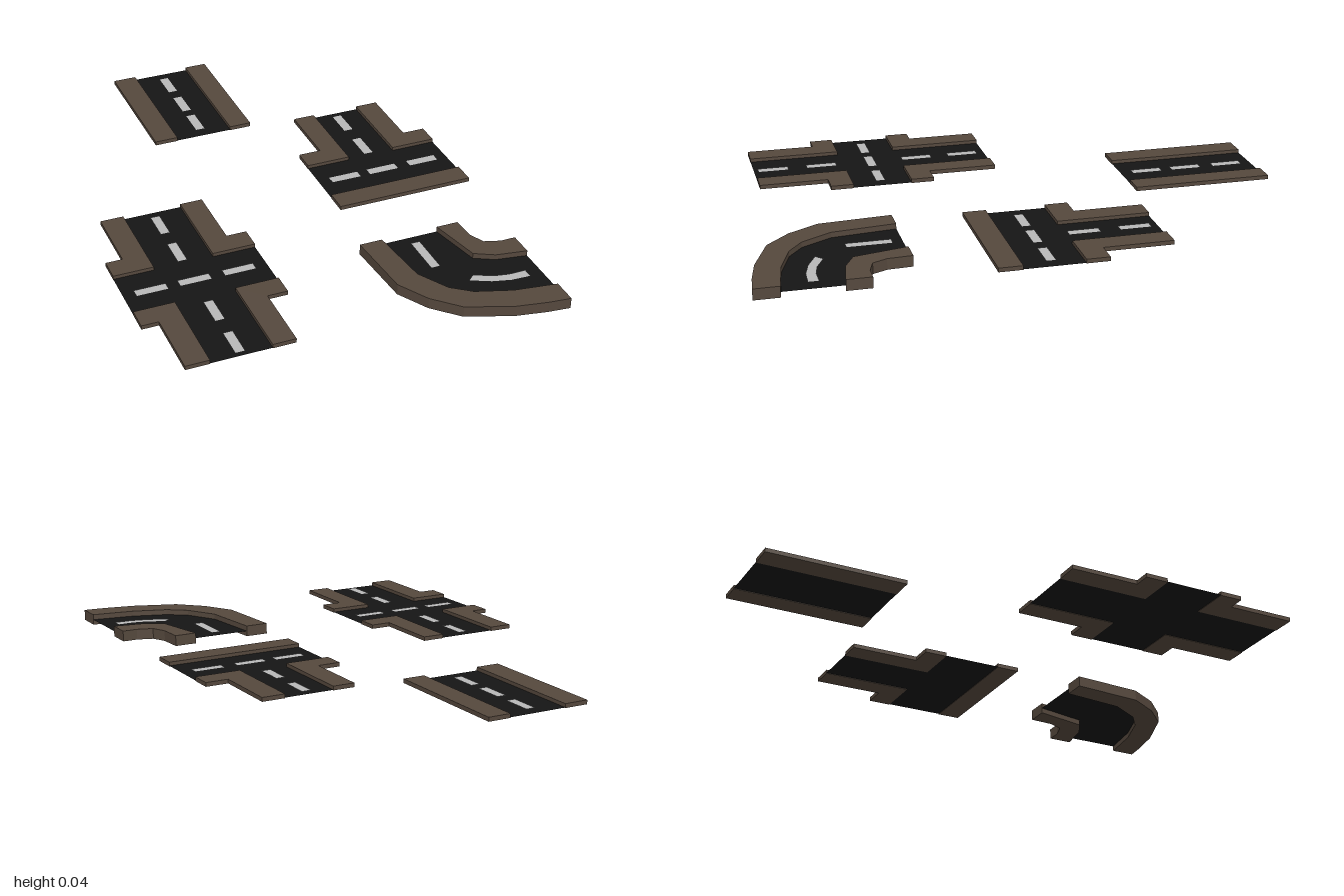
import * as THREE from 'three';

const material = (color, side = THREE.FrontSide) =>
  new THREE.MeshStandardMaterial({ color, side, flatShading: true });
const kerbMat = material(0x55483d);
const roadMat = material(0x151515, THREE.DoubleSide);
const dashMat = material(0xb8b8b8);

// Levels of the flat tiles and of the deeper curved tile
const TOP = 0.04, BASE = 0.025, ROAD = 0.027, CURVE_ROAD = 0.02, LIFT = 0.003;

// Outline of [x, z] points, laid flat in the ground plane
const outline = (points) => new THREE.Shape(points.map(([x, z]) => new THREE.Vector2(x, -z)));
const rect = (x0, x1, z0, z1) => [[x0, z0], [x0, z1], [x1, z1], [x1, z0]];

function add(group, name, geometry, mat, y) {
  const mesh = new THREE.Mesh(geometry.rotateX(-Math.PI / 2), mat);
  mesh.name = name;
  mesh.position.y = y;
  group.add(mesh);
}
const kerb = (group, points, y = BASE) => add(group, 'kerb',
  new THREE.ExtrudeGeometry(outline(points), { depth: TOP - y, bevelEnabled: false }), kerbMat, y);
const road = (group, points, y = ROAD) =>
  add(group, 'roadSurface', new THREE.ShapeGeometry(outline(points)), roadMat, y);
const dash = (group, points, y = ROAD) =>
  add(group, 'laneDash', new THREE.ShapeGeometry(outline(points)), dashMat, y + LIFT);

// Rows of dashes centred on the given positions
const L = 0.057, W = 0.017;
const dashesAlongZ = (g, x, zs) => zs.forEach((z) => dash(g, rect(x - W, x + W, z - L, z + L)));
const dashesAlongX = (g, z, xs) => xs.forEach((x) => dash(g, rect(x - L, x + L, z - W, z + W)));

// L-shaped kerb: inner corner (xi, zi), stepped out to xm / xo and zm / zo
const cornerKerb = (g, xi, xm, xo, zi, zm, zo) =>
  kerb(g, [[xi, zi], [xo, zi], [xo, zm], [xm, zm], [xm, zo], [xi, zo]]);

function straightTile() {
  const g = new THREE.Group();
  g.name = 'straightRoad';
  kerb(g, rect(-0.288, -0.2, -1, -0.483));
  kerb(g, rect(0.017, 0.1, -1, -0.483));
  road(g, rect(-0.2, 0.017, -1, -0.483));
  dashesAlongZ(g, -0.091, [-0.903, -0.738, -0.583]);
  return g;
}

function junctionTile() {
  const g = new THREE.Group();
  g.name = 'tJunction';
  cornerKerb(g, 0.352, 0.27, 0.185, -0.106, -0.19, -0.444);
  cornerKerb(g, 0.535, 0.62, 0.704, -0.106, -0.19, -0.444);
  kerb(g, rect(0.185, 0.704, 0.111, 0.196));
  road(g, [[0.352, -0.444], [0.352, -0.106], [0.185, -0.106], [0.185, 0.111],
    [0.704, 0.111], [0.704, -0.106], [0.535, -0.106], [0.535, -0.444]]);
  dashesAlongZ(g, 0.44, [-0.361, -0.176]);
  dashesAlongX(g, 0.004, [0.287, 0.44, 0.604]);
  return g;
}

function crossTile() {
  const g = new THREE.Group();
  g.name = 'crossroads';
  const xSides = [[-0.563, -0.648, -0.709], [-0.347, -0.264, -0.19]];
  const zSides = [[0.302, 0.217, -0.037], [0.52, 0.604, 0.857]];
  for (const xs of xSides) for (const zs of zSides) cornerKerb(g, ...xs, ...zs);
  const [[x0, , xa], [x1, , xb]] = xSides, [[z0, , za], [z1, , zb]] = zSides;
  road(g, [[x0, za], [x0, z0], [xa, z0], [xa, z1], [x0, z1], [x0, zb],
    [x1, zb], [x1, z1], [xb, z1], [xb, z0], [x1, z0], [x1, za]]);
  dashesAlongZ(g, -0.454, [0.05, 0.231, 0.6, 0.784]);
  dashesAlongX(g, 0.411, [-0.61, -0.454, -0.292]);
  return g;
}

function curveTile() {
  const g = new THREE.Group();
  g.name = 'curvedRoad';
  // Edges of the bend, from the outside in
  const outer = [[0.148, 0.444], [0.167, 0.709], [0.23, 0.82], [0.317, 0.907],
    [0.479, 0.968], [0.59, 0.989], [0.672, 0.998]];
  const roadOuter = [[0.233, 0.444], [0.257, 0.677], [0.32, 0.788], [0.389, 0.841],
    [0.516, 0.884], [0.672, 0.907]];
  const roadInner = [[0.447, 0.444], [0.489, 0.64], [0.558, 0.677], [0.672, 0.696]];
  const inner = [[0.529, 0.444], [0.534, 0.534], [0.558, 0.587], [0.616, 0.606], [0.672, 0.606]];
  const between = (a, b) => [...a, ...[...b].reverse()];
  kerb(g, between(outer, roadOuter), 0);
  kerb(g, between(roadInner, inner), 0);
  road(g, between(roadOuter, roadInner), CURVE_ROAD);
  dash(g, rect(0.328, 0.362, 0.481, 0.642), CURVE_ROAD);
  dash(g, [[0.415, 0.757], [0.484, 0.791], [0.553, 0.809], [0.621, 0.812],
    [0.621, 0.775], [0.558, 0.775], [0.505, 0.764], [0.442, 0.733]], CURVE_ROAD);
  return g;
}

export function createModel() {
  const model = new THREE.Group();
  model.name = 'roadTiles';
  model.add(straightTile(), junctionTile(), crossTile(), curveTile());
  return model;
}
